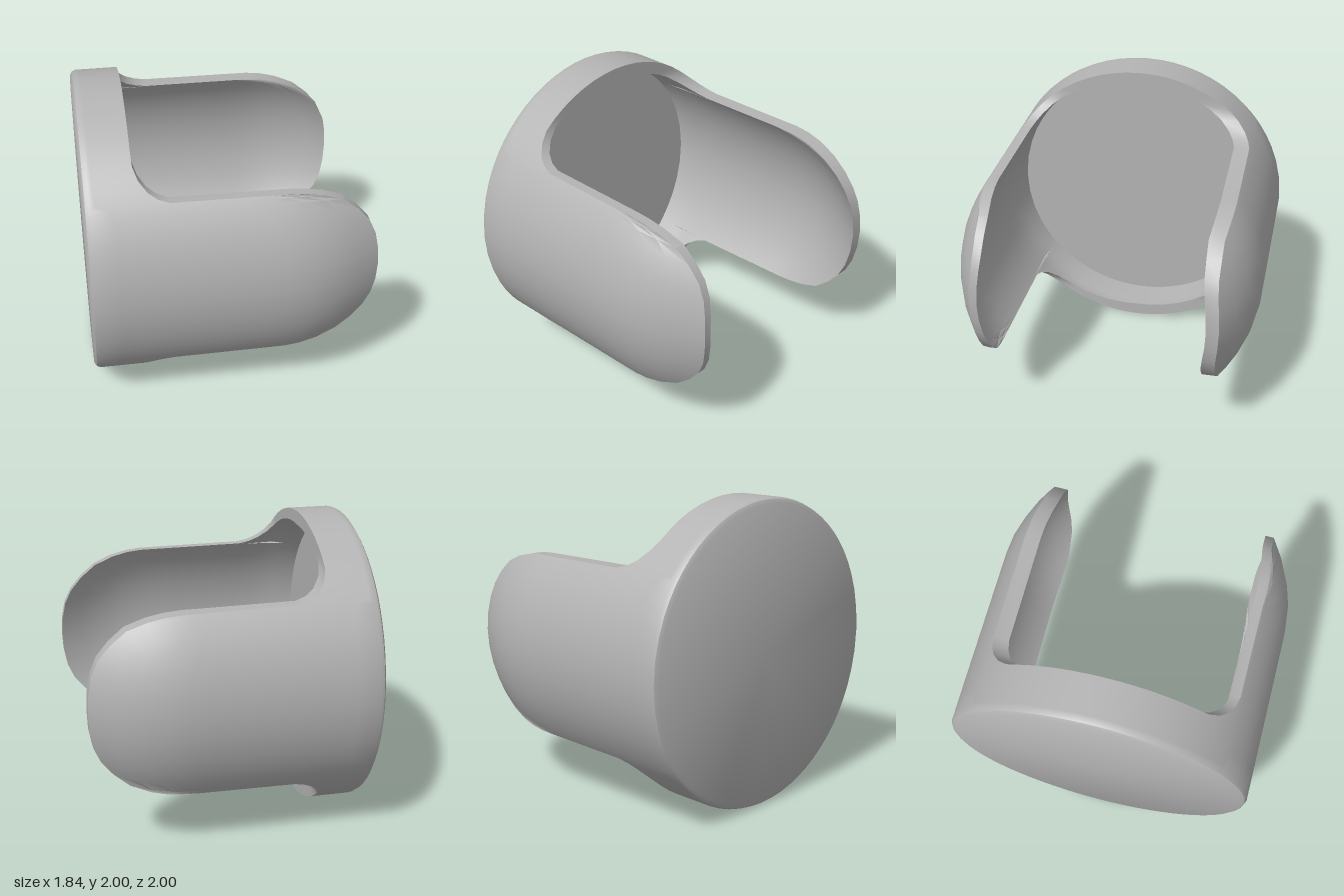
import * as THREE from 'three';
import { toCreasedNormals } from 'three/addons/utils/BufferGeometryUtils.js';

const STEPS = 12;      // samples along each wall
const BASE = -0.92;    // closed end
const FLOOR = -0.85;   // inside of the closed end

// Outer radius about the x axis: a straight cup that rounds inward at the tips
const outerRadius = (x) => 1 - 0.21 * (Math.max(0, x - 0.3) / 0.62) ** 2;

// Edge of one flap quarter (x, height from the axis), tip to rim fillet
const flapEdge = [
  [0.918, 0], [0.912, 0.12], [0.89, 0.235], [0.845, 0.335], [0.77, 0.425],
  [0.67, 0.51], [0.54, 0.562], [0.43, 0.587], [0.33, 0.597], [-0.4, 0.605],
  [-0.47, 0.625], [-0.53, 0.66], [-0.58, 0.715], [-0.607, 0.775],
];

// Columns of one quarter: end position, outer and inner angle, wall thickness
function quarterColumns(sy, sz) {
  const wall = sz > 0 ? 0.05 : 0.08;
  const columns = flapEdge.map(([x, h]) => ({
    x, wall, sy, sz,
    outer: Math.asin(h / outerRadius(x)),
    inner: Math.asin(h / (outerRadius(x) - wall)),
  }));
  const last = columns[columns.length - 1];
  for (let k = 1; k <= 7; k++) {
    const t = k / 7;
    columns.push({
      x: -0.61, sy, sz,
      wall: THREE.MathUtils.lerp(wall, 0.09, t),
      outer: THREE.MathUtils.lerp(last.outer, Math.PI / 2, t),
      inner: THREE.MathUtils.lerp(last.inner, Math.PI / 2, t),
    });
  }
  return columns;
}

// Closed profile of one column: base centre, outer wall, edge, inner wall, floor centre
function columnPoints(c) {
  const place = (x, r, a) => [x, 1 + c.sy * r * Math.sin(a), c.sz * r * Math.cos(a)];
  const points = [place(BASE, 0, 0), place(BASE, 0.965, c.outer), place(-0.905, 0.99, c.outer)];
  for (let k = 0; k <= STEPS; k++) {
    const x = THREE.MathUtils.lerp(-0.88, c.x, k / STEPS);
    points.push(place(x, outerRadius(x), c.outer));
  }
  for (let k = STEPS; k >= 0; k--) {
    const x = THREE.MathUtils.lerp(FLOOR, c.x, k / STEPS);
    const blend = Math.min(1, (x - FLOOR) / 0.2);
    const wall = THREE.MathUtils.lerp(0.095, c.wall, blend);
    points.push(place(x, outerRadius(x) - wall, c.inner));
  }
  points.push(place(FLOOR, 0, 0));
  return points;
}

function slottedCupGeometry() {
  // Four mirrored quarters joined into one ring, without the shared columns
  const columns = [
    ...quarterColumns(1, 1).slice(0, -1),
    ...quarterColumns(1, -1).reverse().slice(0, -1),
    ...quarterColumns(-1, -1).slice(0, -1),
    ...quarterColumns(-1, 1).reverse().slice(0, -1),
  ].map(columnPoints);
  const rows = columns[0].length;
  const index = [];
  columns.forEach((_, i) => {
    const next = (i + 1) % columns.length;
    for (let j = 0; j < rows - 1; j++) {
      const a = i * rows + j, b = a + 1;
      const c = next * rows + j, d = c + 1;
      if (j > 0) index.push(a, b, c);
      if (j < rows - 2) index.push(b, d, c);
    }
  });
  const geometry = new THREE.BufferGeometry();
  geometry.setAttribute('position', new THREE.Float32BufferAttribute(columns.flat(2), 3));
  geometry.setIndex(index);
  return toCreasedNormals(geometry, 0.55);
}

export function createModel() {
  const group = new THREE.Group();
  group.name = 'slottedCup';

  const grey = new THREE.MeshStandardMaterial({ color: 0xb4b4b4 });
  grey.name = 'plain grey';

  // Round cup lying on its side, with two rounded flaps
  const cup = new THREE.Mesh(slottedCupGeometry(), grey);
  cup.name = 'cupWithFlaps';
  group.add(cup);

  return group;
}
